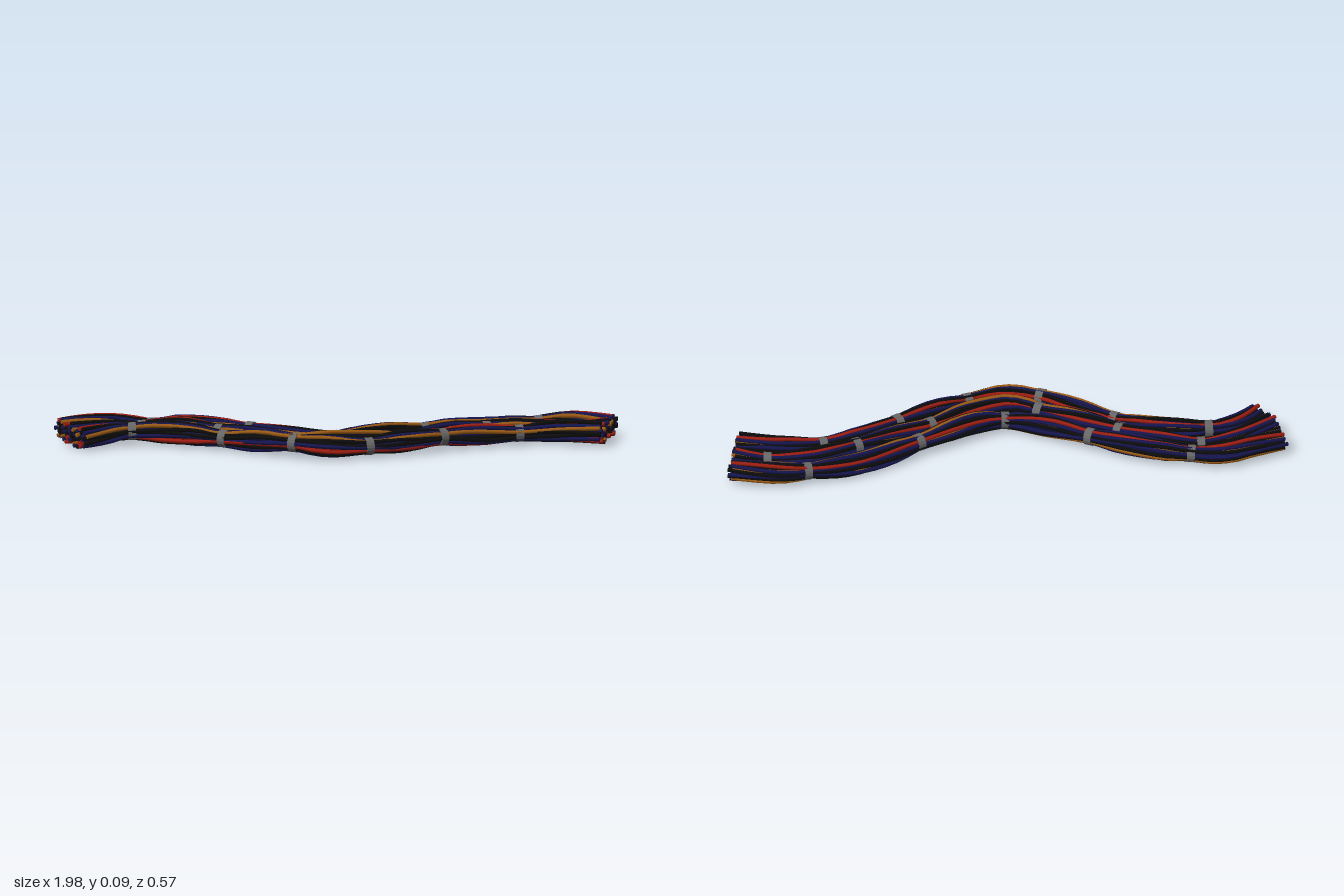
import * as THREE from 'three';
import { mergeGeometries } from 'three/addons/utils/BufferGeometryUtils.js';

const WIRE_R = 0.0075;
const COLORS = { black: 0x0c0c0c, blue: 0x15154f, red: 0x9c1d12, orange: 0x9a5a14 };
// Colour order around the bundle
const ORDER = ['black', 'blue', 'red', 'black', 'blue', 'orange', 'black', 'blue'];

// Centre lines as [x, z] and strap positions along x
const BUNDLES = [
  { name: 'backBundle', straps: [-0.65, -0.31, -0.03, 0.29, 0.70],
    path: [[-0.98, -0.17], [-0.87, -0.215], [-0.75, -0.25], [-0.65, -0.23], [-0.53, -0.20], [-0.31, -0.09], [-0.17, 0.015],
      [-0.04, 0.067], [0.08, 0.05], [0.29, -0.055], [0.51, -0.165], [0.70, -0.21], [0.82, -0.22], [0.98, -0.175]] },
  { name: 'middleBundle', straps: [-0.69, -0.42, -0.15, 0.24, 0.51, 0.835],
    path: [[-0.96, -0.06], [-0.80, -0.155], [-0.69, -0.18], [-0.56, -0.15], [-0.42, -0.06], [-0.29, 0.035], [-0.15, 0.12],
      [-0.07, 0.16], [0.08, 0.145], [0.24, 0.065], [0.38, -0.005], [0.51, -0.065], [0.67, -0.12], [0.835, -0.118], [0.96, -0.09]] },
  { name: 'frontBundle', straps: [-0.73, -0.41, -0.17, 0.09, 0.35, 0.63],
    path: [[-0.92, 0.025], [-0.83, -0.05], [-0.73, -0.08], [-0.56, -0.045], [-0.41, 0.03], [-0.29, 0.11], [-0.17, 0.20],
      [-0.05, 0.242], [0.09, 0.217], [0.22, 0.16], [0.35, 0.085], [0.48, 0.01], [0.63, -0.035], [0.78, -0.04], [0.935, 0.01]] },
];

function seeded(seed) {
  return () => (seed = (seed * 16807) % 2147483647) / 2147483647;
}

// A wire: faceted tube with a disc on each end
function wireGeometry(points) {
  const curve = new THREE.CatmullRomCurve3(points);
  const parts = [new THREE.TubeGeometry(curve, 44, WIRE_R, 6)];
  for (const end of [0, 1]) {
    const dir = curve.getTangent(end).multiplyScalar(end ? 1 : -1);
    const cap = new THREE.CircleGeometry(WIRE_R, 6);
    cap.applyQuaternion(new THREE.Quaternion().setFromUnitVectors(new THREE.Vector3(0, 0, 1), dir));
    const p = curve.getPoint(end);
    parts.push(cap.translate(p.x, p.y, p.z));
  }
  return mergeGeometries(parts);
}

// Flat closed band revolved around the bundle
const strapProfile = [[0.026, -0.014], [0.031, -0.014], [0.031, 0.014], [0.026, 0.014], [0.026, -0.014]]
  .map(([x, y]) => new THREE.Vector2(x, y));

function makeBundle({ name, straps, path }, index) {
  const group = new THREE.Group();
  group.name = name;
  const rand = seeded(101 + index * 977);
  const centre = new THREE.CatmullRomCurve3(path.map(([x, z], i) =>
    new THREE.Vector3(x, 0.06 + 0.005 * Math.sin(i * 1.7 + index * 2), z)));

  // Bundle is squeezed at each strap and bulges between them
  const radiusAt = (x) => straps.reduce((r, s) => r - 0.011 * Math.exp(-(((x - s) / 0.06) ** 2)), 0.0315);

  // Concentric rings of wires: [count, relative radius]
  const byColor = {};
  let n = 0;
  for (const [count, ring] of [[1, 0], [7, 0.5], [15, 1]]) {
    for (let k = 0; k < count; k++) {
      const angle = (k / count) * Math.PI * 2;
      const phase = rand() * 6.28;
      const spread = 0.94 + rand() * 0.12;
      const start = rand() * 0.008;
      const stop = 1 - rand() * 0.008;
      const points = [];
      for (let i = 0; i <= 30; i++) {
        const u = start + (stop - start) * (i / 30);
        const p = centre.getPointAt(u);
        const t = centre.getTangentAt(u);
        const side = new THREE.Vector3(-t.z, 0, t.x).normalize();
        const up = new THREE.Vector3().crossVectors(t, side).normalize();
        const a = angle + 0.5 * Math.sin(u * 7 + index) + 0.16 * Math.sin(u * 21 + phase);
        const r = radiusAt(p.x) * ring * (spread + 0.08 * Math.sin(u * 16 + phase));
        points.push(p.addScaledVector(side, Math.cos(a) * r).addScaledVector(up, Math.sin(a) * r));
      }
      (byColor[ORDER[n++ % ORDER.length]] ??= []).push(wireGeometry(points));
    }
  }
  for (const [color, list] of Object.entries(byColor)) {
    const mesh = new THREE.Mesh(mergeGeometries(list), new THREE.MeshStandardMaterial({ color: COLORS[color] }));
    mesh.name = color + 'Wires';
    group.add(mesh);
  }

  // Straps sit across the centre line
  for (const x of straps) {
    let u = 0;
    while (u < 1 && centre.getPointAt(u).x < x) u += 0.004;
    const strap = new THREE.Mesh(new THREE.LatheGeometry(strapProfile, 18),
      new THREE.MeshStandardMaterial({ color: 0x666666, flatShading: true, side: THREE.DoubleSide }));
    strap.name = 'strap';
    strap.position.copy(centre.getPointAt(Math.min(u, 1)));
    strap.quaternion.setFromUnitVectors(new THREE.Vector3(0, 1, 0), centre.getTangentAt(Math.min(u, 1)));
    group.add(strap);
  }
  return group;
}

export function createModel() {
  const model = new THREE.Group();
  model.name = 'cableBundles';
  BUNDLES.forEach((b, i) => model.add(makeBundle(b, i)));
  return model;
}
